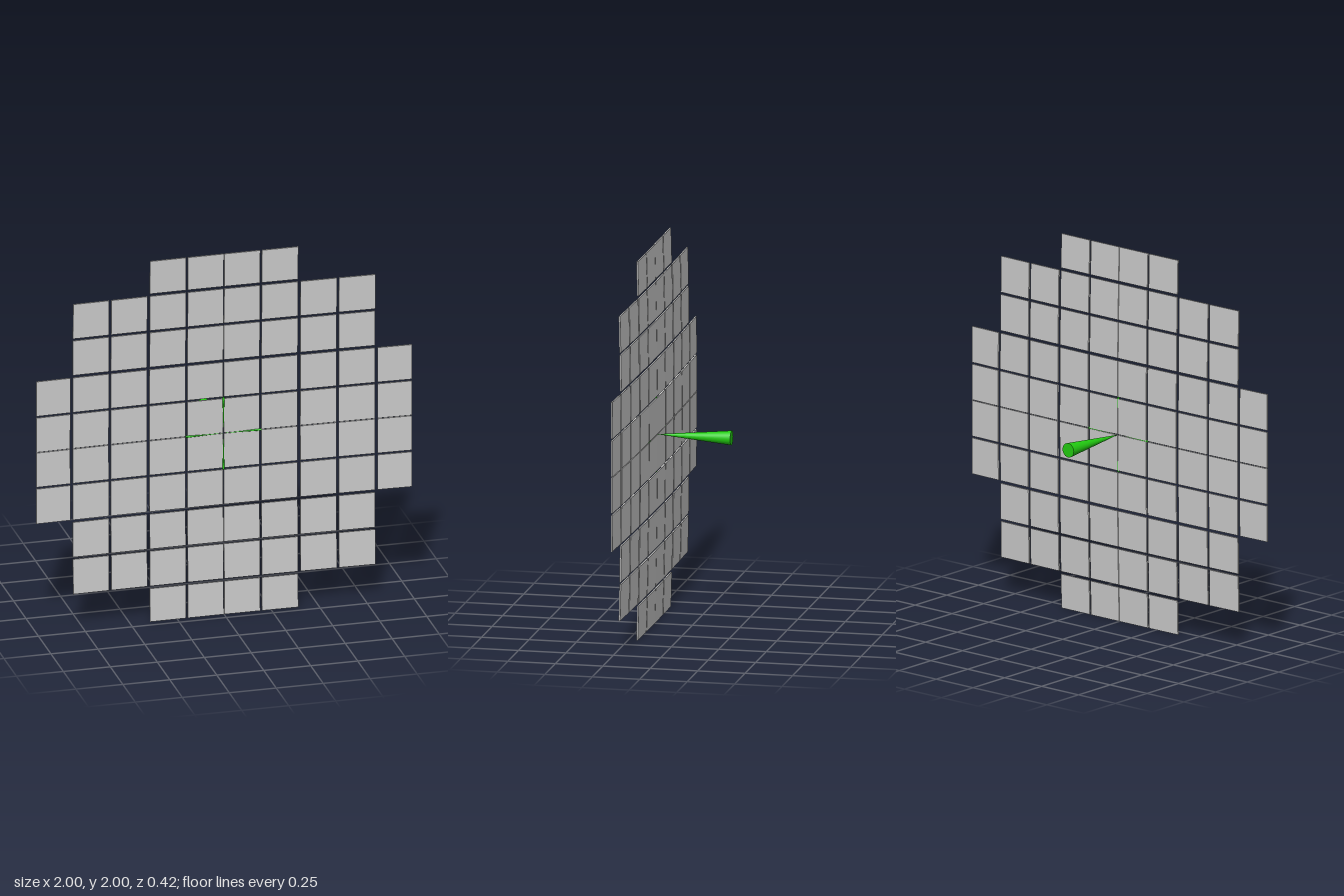
import * as THREE from 'three';

export function createModel() {
  const model = new THREE.Group();
  const grey = new THREE.MeshStandardMaterial({ color: 0xcccccc });
  const green = new THREE.MeshStandardMaterial({ color: 0x22cc11 });

  // Start and end of each tile along one axis, from the centre outwards
  const spans = [[0.002, 0.192], [0.202, 0.394], [0.408, 0.6], [0.612, 0.804], [0.818, 1]];
  // Number of tiles per half row, from the middle row outwards
  const rowCounts = [5, 5, 4, 4, 2];
  const centreZ = 0.188, bend = 0.014, thickness = 0.008;

  // Shallow dished wall of square tiles, mirrored into four quadrants
  const wall = new THREE.Group();
  wall.name = 'tileWall';
  rowCounts.forEach((count, row) => {
    for (let col = 0; col < count; col++) {
      const [x0, x1] = spans[col], [y0, y1] = spans[row];
      const geometry = new THREE.BoxGeometry(x1 - x0, y1 - y0, thickness);
      for (const sx of [-1, 1]) for (const sy of [-1, 1]) {
        const x = sx * (x0 + x1) / 2, y = sy * (y0 + y1) / 2;
        const tile = new THREE.Mesh(geometry, grey);
        tile.name = 'tile';
        tile.position.set(x, 1 + y, centreZ + bend * (x * x + y * y));
        // Tilt each tile to follow the dish
        const normal = new THREE.Vector3(-2 * bend * x, -2 * bend * y, 1).normalize();
        tile.quaternion.setFromUnitVectors(new THREE.Vector3(0, 0, 1), normal);
        wall.add(tile);
      }
    }
  });
  model.add(wall);

  // Cone with its tip at "from" and its base at "to"
  function addCone(name, from, to, radius, sides) {
    const axis = from.clone().sub(to);
    const cone = new THREE.Mesh(new THREE.ConeGeometry(radius, axis.length(), sides), green);
    cone.name = name;
    cone.position.copy(from).add(to).multiplyScalar(0.5);
    cone.quaternion.setFromUnitVectors(new THREE.Vector3(0, 1, 0), axis.normalize());
    model.add(cone);
  }

  // Large cone pointing at the middle of the wall from behind
  addCone('beamCone', new THREE.Vector3(0, 1, centreZ), new THREE.Vector3(0, 1, -0.207), 0.038, 32);

  // Four slender needles spreading along the central seams
  for (const [dx, dy] of [[1, 0], [-1, 0], [0, 1], [0, -1]]) {
    addCone('seamNeedle', new THREE.Vector3(0, 1, 0.191),
      new THREE.Vector3(dx * 0.2, 1 + dy * 0.2, 0.191), 0.006, 12);
  }
  return model;
}
